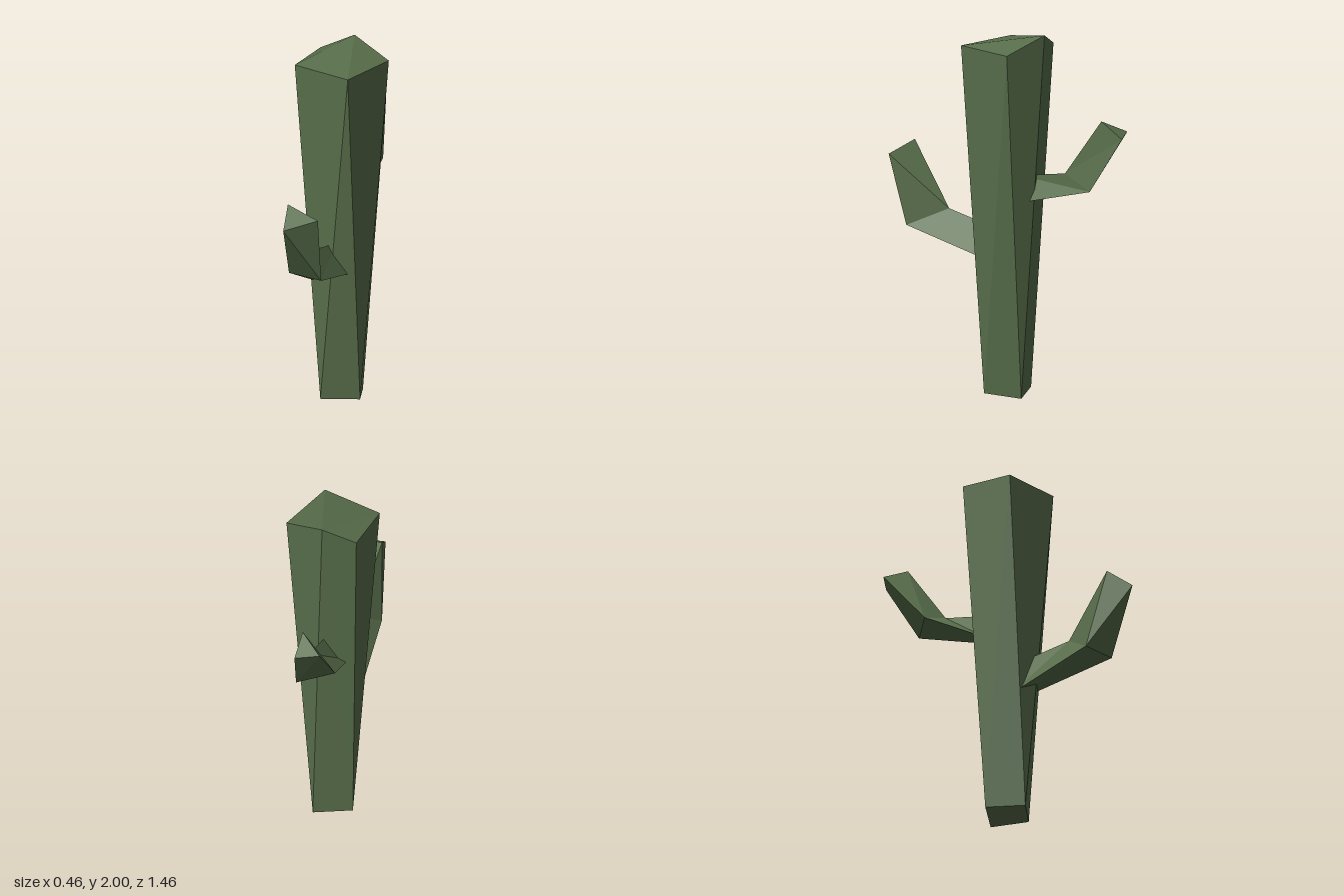
import * as THREE from 'three';

// Faceted mesh from corner points and a triangle list
function faceted(name, points, faces, material) {
  const geometry = new THREE.BufferGeometry();
  geometry.setAttribute('position', new THREE.Float32BufferAttribute(points.flat(), 3));
  geometry.setIndex(faces.flat());
  const flat = geometry.toNonIndexed();
  flat.computeVertexNormals();
  const mesh = new THREE.Mesh(flat, material);
  mesh.name = name;
  return mesh;
}

// Three-sided arm skinned through rings (root, elbow, tip);
// each ring runs counter-clockwise seen from the tip
function arm(name, rings, otherDiagonal, material) {
  const faces = [];
  for (let r = 0; r < rings.length - 1; r++) {
    for (let i = 0; i < 3; i++) {
      const j = (i + 1) % 3;
      const a = r * 3 + i, b = r * 3 + j, c = a + 3, d = b + 3;
      if (otherDiagonal) faces.push([a, b, d], [a, d, c]);
      else faces.push([a, b, c], [b, d, c]);
    }
  }
  const t = (rings.length - 1) * 3;
  faces.push([0, 2, 1], [t, t + 1, t + 2]);
  return faceted(name, rings.flat(), faces, material);
}

export function createModel() {
  const group = new THREE.Group();
  group.name = 'cactus';
  const green = new THREE.MeshStandardMaterial({ color: 0x576d4a, flatShading: true });
  green.name = 'cactus green';

  // Trunk: five corners on top (0-4), four at the foot (5-8), flaring upwards
  const trunkPoints = [
    [0, 2, -0.25], [0.23, 1.92, -0.14], [0.11, 1.92, 0.2], [-0.23, 1.92, 0.08], [-0.18, 1.92, -0.21],
    [0.08, 0, -0.15], [0.13, 0.02, 0.05], [-0.075, 0.02, 0.11], [-0.13, 0.02, -0.1],
  ];
  const trunkFaces = [
    [0, 2, 1], [0, 3, 2], [0, 4, 3], // top
    [5, 0, 1], [5, 1, 6], [6, 1, 2], [6, 2, 7], [7, 2, 3],
    [7, 3, 8], [8, 3, 4], [8, 4, 0], [8, 0, 5], // sides
    [5, 6, 7], [5, 7, 8], // foot
  ];
  group.add(faceted('trunk', trunkPoints, trunkFaces, green));

  // Lower arm, reaching forwards
  group.add(arm('frontArm', [
    [[-0.02, 0.89, 0.02], [-0.12, 0.67, 0.04], [0.085, 0.735, 0.02]],
    [[-0.02, 0.98, 0.34], [-0.13, 0.88, 0.48], [0.075, 0.885, 0.55]],
    [[-0.1, 1.32, 0.59], [-0.08, 1.22, 0.73], [0.09, 1.27, 0.65]],
  ], false, green));

  // Higher arm, reaching backwards
  group.add(arm('backArm', [
    [[-0.01, 1.21, -0.1], [0.065, 1.07, -0.1], [-0.105, 1.035, -0.1]],
    [[0.03, 1.26, -0.39], [0.06, 1.18, -0.555], [-0.13, 1.205, -0.45]],
    [[0.01, 1.565, -0.6], [0.02, 1.48, -0.73], [-0.11, 1.495, -0.695]],
  ], true, green));

  return group;
}
